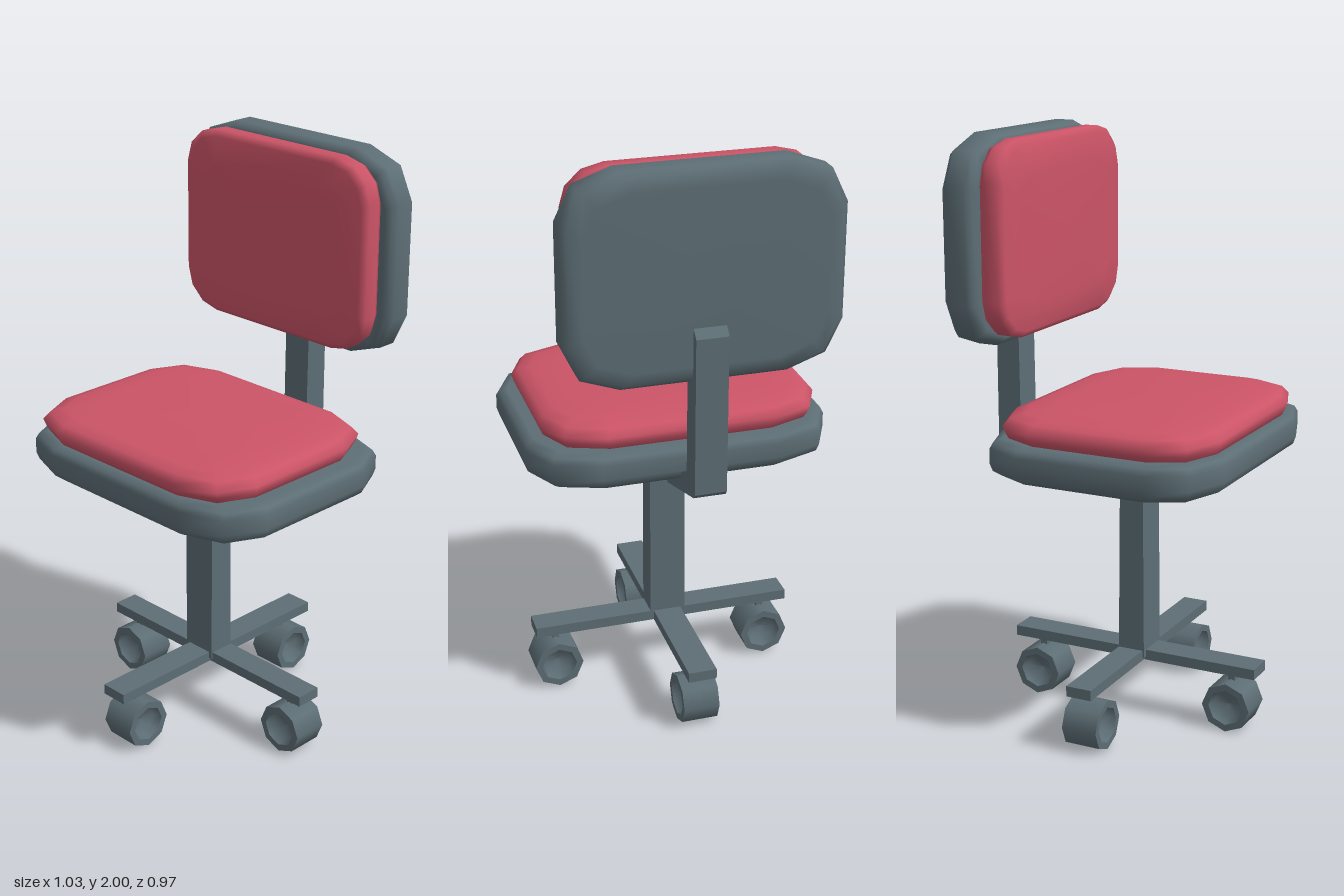
import * as THREE from 'three';

const grey = new THREE.MeshStandardMaterial({ color: 0x5d6e75, side: THREE.DoubleSide });
grey.name = 'slate grey';
const red = new THREE.MeshStandardMaterial({ color: 0xcb5467 });
red.name = 'soft red';

// Rounded pad: rings of [height, inset] around a rectangle with cut corners
function padGeometry(hw, hd, cornerW, cornerD, segs, rings) {
  const pos = [], index = [];
  const n = 4 * (segs + 1);
  for (const [h, inset] of rings) {
    const w = hw - inset, d = hd - inset;
    const cw = cornerW - inset * 0.4, cd = cornerD - inset * 0.4;
    for (let q = 0; q < 4; q++) {
      const sx = q === 0 || q === 3 ? 1 : -1, sz = q < 2 ? 1 : -1;
      for (let k = 0; k <= segs; k++) {
        const a = (q + k / segs) * Math.PI / 2;
        pos.push(sx * (w - cw) + Math.cos(a) * cw, h, sz * (d - cd) + Math.sin(a) * cd);
      }
    }
  }
  const last = (rings.length - 1) * n;
  const bottom = rings.length * n, top = bottom + 1;
  pos.push(0, rings[0][0], 0, 0, rings[rings.length - 1][0], 0);
  for (let k = 0; k < n; k++) {
    const m = (k + 1) % n;
    for (let r = 0; r < last; r += n) {
      index.push(r + k, r + n + k, r + m, r + m, r + n + k, r + n + m);
    }
    index.push(bottom, k, m, top, last + m, last + k);
  }
  const g = new THREE.BufferGeometry();
  g.setAttribute('position', new THREE.Float32BufferAttribute(pos, 3));
  g.setIndex(index);
  g.computeVertexNormals();
  return g;
}

// Box whose top has a different size from its bottom
function frustum(w0, d0, w1, d1, y0, y1) {
  const g = new THREE.BoxGeometry(1, 1, 1).toNonIndexed();
  const p = g.attributes.position;
  for (let i = 0; i < p.count; i++) {
    const up = p.getY(i) > 0;
    p.setXYZ(i, p.getX(i) * (up ? w1 : w0), up ? y1 : y0, p.getZ(i) * (up ? d1 : d0));
  }
  g.computeVertexNormals();
  return g;
}

export function createModel() {
  const model = new THREE.Group();
  const add = (name, geometry, material, x = 0, y = 0, z = 0) => {
    const mesh = new THREE.Mesh(geometry, material);
    mesh.name = name;
    mesh.position.set(x, y, z);
    model.add(mesh);
    return mesh;
  };

  // Seat shell and cushion
  add('seatShell', padGeometry(0.513, 0.408, 0.21, 0.18, 2,
    [[0.918, 0.03], [0.935, 0.008], [0.96, 0], [1.01, 0], [1.03, 0.01], [1.042, 0.035]]),
    grey, 0, 0, 0.067);
  add('seatCushion', padGeometry(0.472, 0.378, 0.19, 0.17, 2,
    [[1.035, 0.02], [1.06, 0.008], [1.085, 0], [1.11, 0.02], [1.122, 0.06], [1.131, 0.15]]),
    red, -0.012, 0, 0.077);

  // Backrest shell and cushion, turned so the pad height runs forward
  const backShell = add('backrestShell', padGeometry(0.45, 0.345, 0.18, 0.155, 2,
    [[-0.457, 0.06], [-0.448, 0.018], [-0.425, 0], [-0.36, 0], [-0.34, 0.01], [-0.33, 0.03]]),
    grey, -0.005, 1.655, 0);
  const backCushion = add('backrestCushion', padGeometry(0.41, 0.32, 0.14, 0.13, 3,
    [[-0.335, 0.012], [-0.31, 0], [-0.265, 0], [-0.247, 0.02], [-0.237, 0.11]]),
    red, -0.005, 1.665, 0);
  backShell.rotation.x = backCushion.rotation.x = Math.PI / 2;

  // Bent bar carrying the backrest, profile given as [-z, y]
  const profile = [[0.185, 0.84], [0.47, 0.925], [0.483, 0.94], [0.483, 1.47], [0.445, 1.51],
    [0.4, 1.51], [0.395, 0.985], [0.28, 0.92], [0.13, 0.917]];
  const bar = new THREE.ExtrudeGeometry(
    new THREE.Shape(profile.map(([x, y]) => new THREE.Vector2(x, y))),
    { depth: 0.106, bevelEnabled: false });
  bar.rotateY(Math.PI / 2);
  add('backrestBar', bar, grey, -0.065, 0, 0);

  // Column and the flared mount below the seat
  add('column', frustum(0.125, 0.096, 0.125, 0.086, 0.215, 0.835), grey, -0.012, 0, 0.035);
  add('seatMount', frustum(0.125, 0.088, 0.47, 0.33, 0.83, 0.922), grey, -0.015, 0, 0.035);

  // Crossed base arms: channels open underneath
  const channel = (w, d) => {
    const g = new THREE.BoxGeometry(w, 0.036, d);
    const kept = Array.from(g.index.array).filter((_, i) => i < 18 || i >= 24);
    g.clearGroups();
    g.setIndex(kept);
    return g;
  };
  add('baseArmAcross', channel(0.92, 0.09), grey, 0.005, 0.222, 0.032);
  add('baseArmLengthwise', channel(0.098, 0.915), grey, -0.01, 0.2215, 0.028);

  // Casters: eight-sided wheels with hollowed ends
  const half = 0.0625;
  const wheel = new THREE.LatheGeometry([
    [0, -0.02], [0.05, -0.03], [0.062, -half], [0.062, -half], [0.086, -half], [0.086, -half],
    [0.086, half], [0.086, half], [0.062, half], [0.062, half], [0.05, 0.03], [0, 0.02],
  ].map(([r, y]) => new THREE.Vector2(r, y)), 8);
  wheel.rotateX(Math.PI / 2);
  const stem = new THREE.BoxGeometry(0.024, 0.07, 0.024);
  const casters = [
    ['leftCaster', 0.39, 0.032, 0], ['rightCaster', -0.37, 0.032, 0],
    ['frontCaster', -0.01, 0.388, Math.PI / 2], ['backCaster', -0.01, -0.34, Math.PI / 2],
  ];
  for (const [name, x, z, turn] of casters) {
    add(name + 'Wheel', wheel, grey, x, 0.089, z).rotation.y = turn;
    add(name + 'Stem', stem, grey, x, 0.195, z);
  }

  return model;
}
